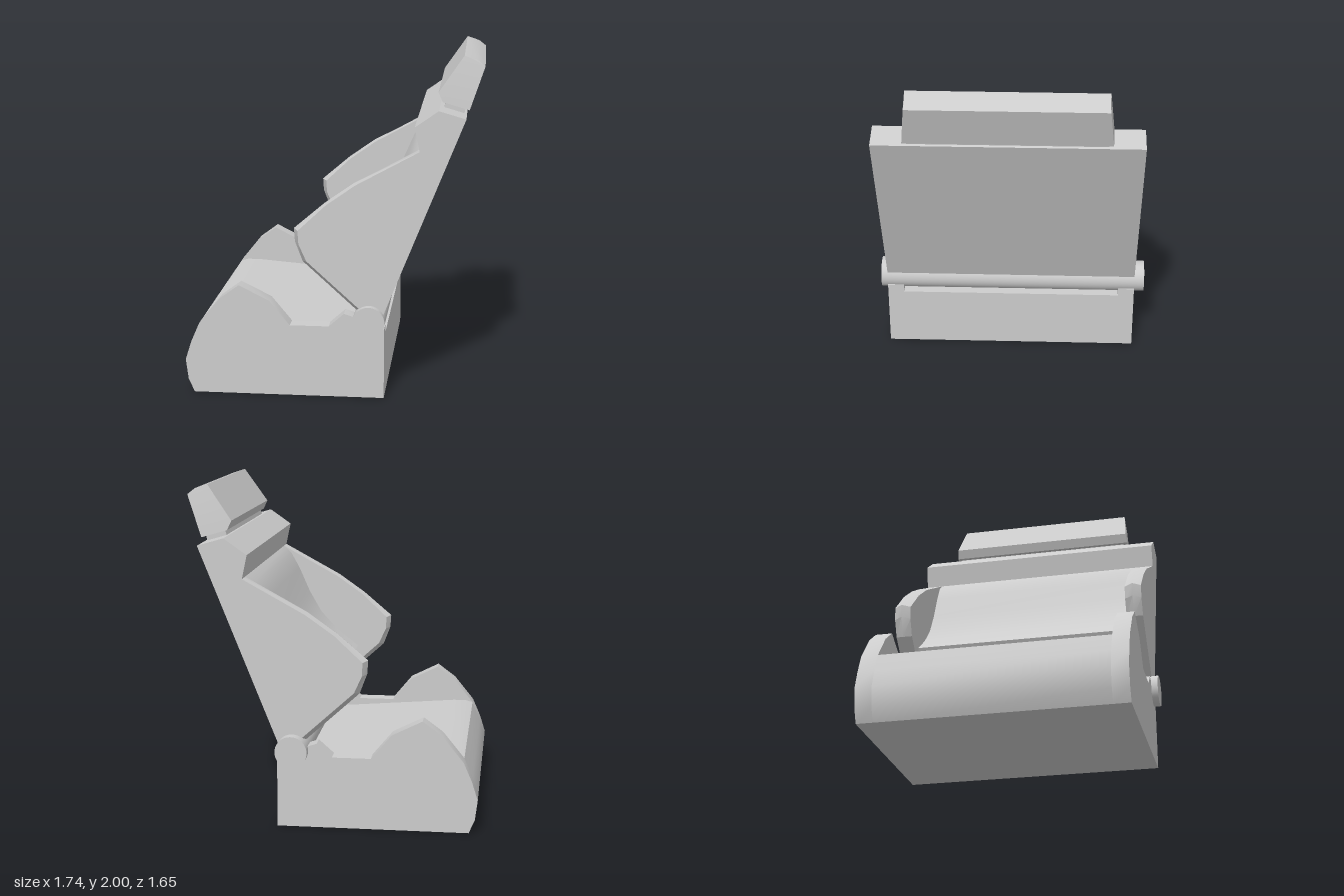
import * as THREE from 'three';
import { toCreasedNormals } from 'three/addons/utils/BufferGeometryUtils.js';

const material = new THREE.MeshStandardMaterial({ color: 0xcccccc });
const Z0 = -0.77, Z1 = 0.785, BOLSTER = 0.1;

// Extrude an (x, y) outline from z0 to z1, optionally reshaping its vertices by a rule
function slab(name, points, z0, z1, { steps = 1, crease = 0.5, rule } = {}) {
  const shape = new THREE.Shape(points.map(([x, y]) => new THREE.Vector2(x, y)));
  let geo = new THREE.ExtrudeGeometry(shape, { depth: z1 - z0, steps, bevelEnabled: false });
  geo.translate(0, 0, z0);
  if (rule) {
    const pos = geo.attributes.position;
    const v = new THREE.Vector3();
    for (let i = 0; i < pos.count; i++) {
      rule(v.fromBufferAttribute(pos, i));
      pos.setXYZ(i, v.x, v.y, v.z);
    }
  }
  geo = toCreasedNormals(geo, crease);
  const mesh = new THREE.Mesh(geo, material);
  mesh.name = name;
  return mesh;
}

export function createModel() {
  const seat = new THREE.Group();
  seat.name = 'recliningSeat';

  // Rounded front shared by cushion and seat bolsters
  const front = [[0.31, 0], [-0.82, 0], [-0.855, 0.08], [-0.87, 0.2], [-0.835, 0.31], [-0.785, 0.425]];
  const cushion = [...front, [-0.74, 0.438], [-0.66, 0.438], [-0.5, 0.425], [-0.25, 0.405], [0, 0.385], [0.31, 0.372]];
  const seatSide = [...front, [-0.66, 0.58], [-0.545, 0.665], [-0.365, 0.575], [-0.245, 0.43],
    [-0.015, 0.43], [0.075, 0.51], [0.15, 0.485], [0.22, 0.42], [0.31, 0.42]];
  seat.add(slab('seatCushion', cushion, Z0 + BOLSTER, Z1 - BOLSTER));

  // Backrest pad with lumbar bulge and full-width shoulder
  const shoulder = [[0.765, 1.665], [0.61, 1.71], [0.475, 1.615], [0.505, 1.475]];
  const pad = [[0.305, 0.51], ...shoulder, [0.455, 1.43], [0.4, 1.33], [0.33, 1.17],
    [0.25, 1.03], [0.14, 0.91], [0, 0.8], [0.17, 0.51]];
  seat.add(slab('backrestPad', pad, Z0 + BOLSTER, Z1 - BOLSTER));

  const backSide = [[0.305, 0.51], ...shoulder, [0.14, 1.275], [-0.03, 1.155], [-0.195, 1.0],
    [-0.19, 0.92], [-0.145, 0.82], [0.175, 0.53], [0.2, 0.51]];
  // A ridge runs along the middle of each backrest bolster's front edge
  const ridge = (mid) => (v) => {
    if (Math.abs(v.z - mid) > 0.01 || v.x > 0.18) return;
    v.x -= v.y < 1.1 ? 0.027 : 0.01;
    v.y += v.y < 0.9 ? -0.012 : 0.006;
  };
  for (const [side, z] of [['right', Z0], ['left', Z1 - BOLSTER]]) {
    seat.add(slab(side + 'SeatBolster', seatSide, z, z + BOLSTER));
    seat.add(slab(side + 'BackrestBolster', backSide, z, z + BOLSTER,
      { steps: 2, crease: 0.3, rule: ridge(z + BOLSTER / 2) }));
  }

  // Hinge bar between seat and backrest
  const hinge = new THREE.Mesh(new THREE.CylinderGeometry(0.095, 0.095, 1.655, 40), material);
  hinge.name = 'hingeBar';
  hinge.rotation.x = Math.PI / 2;
  hinge.position.set(0.22, 0.467, -0.003);
  seat.add(hinge);

  // Headrest narrows towards its top and back
  const mid = (Z0 + Z1) / 2;
  const head = [[0.625, 1.735], [0.78, 1.69], [0.865, 1.94], [0.82, 1.975], [0.745, 2], [0.6, 1.79]];
  seat.add(slab('headrest', head, mid - 0.5, mid + 0.5, {
    rule: (v) => {
      const half = 0.602 - 0.105 * (v.y - 1.69) - (v.x > 0.76 ? 0.008 : 0);
      v.z = mid + Math.sign(v.z - mid) * half;
    },
  }));
  const neck = [[0.63, 1.69], [0.745, 1.655], [0.76, 1.71], [0.645, 1.745]];
  seat.add(slab('headrestNeck', neck, mid - 0.57, mid + 0.57));

  return seat;
}
